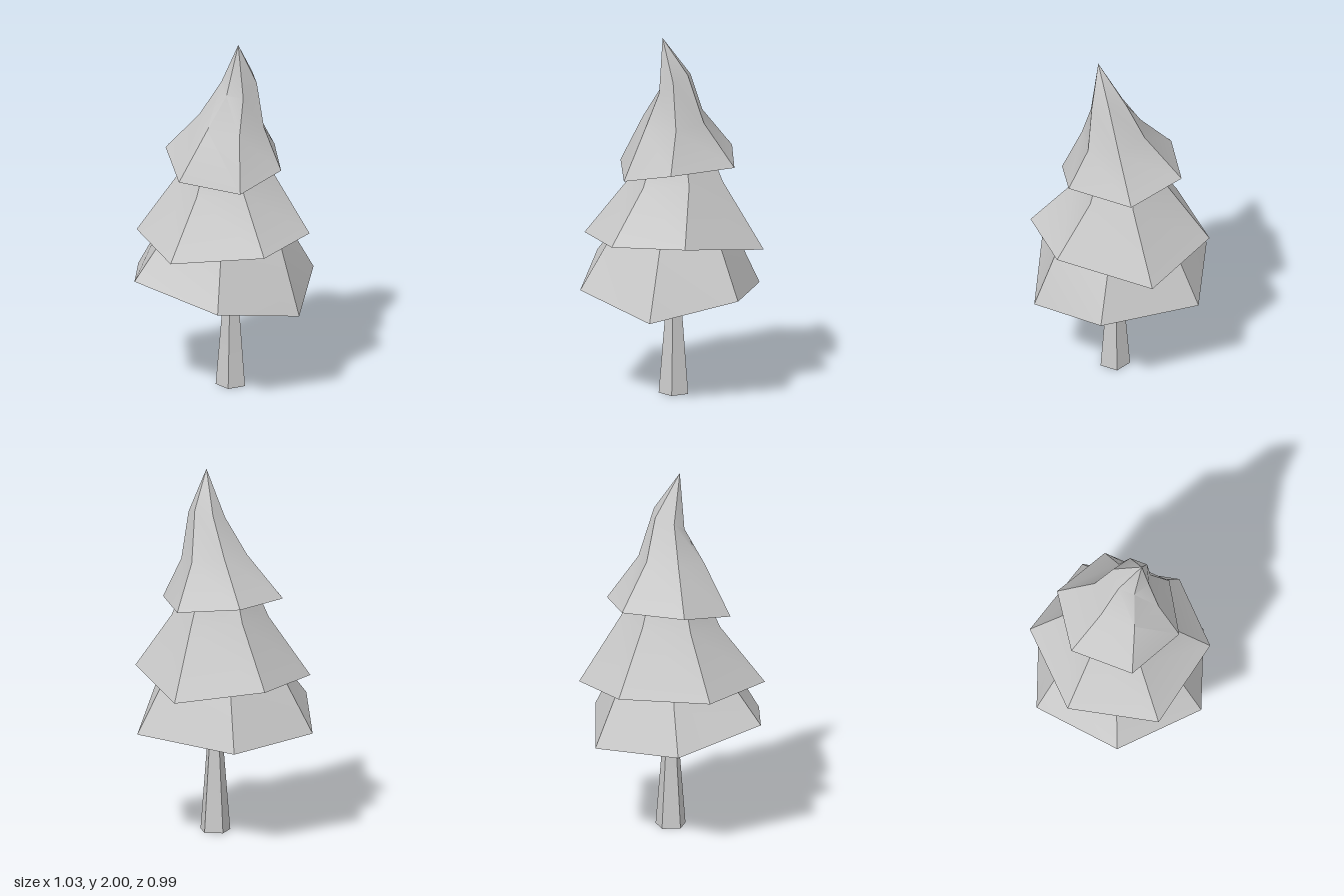
import * as THREE from 'three';
import { toCreasedNormals } from 'three/addons/utils/BufferGeometryUtils.js';

// Joins a sequence of equal-sized rings into a closed faceted skin
function loft(rings) {
  const pos = [];
  const tri = (a, b, c) => {
    const [A, B, C] = [a, b, c].map((p) => new THREE.Vector3(...p));
    if (B.sub(A).cross(C.sub(A)).length() > 1e-7) pos.push(...a, ...b, ...c);
  };
  for (let k = 0; k < rings.length - 1; k++) {
    const lo = rings[k], up = rings[k + 1], n = lo.length;
    for (let i = 0; i < n; i++) {
      const j = (i + 1) % n;
      tri(lo[i], up[i], up[j]);
      tri(lo[i], up[j], lo[j]);
    }
  }
  const geo = new THREE.BufferGeometry();
  geo.setAttribute('position', new THREE.Float32BufferAttribute(pos, 3));
  return toCreasedNormals(geo, 0.55);
}

// Average point of a ring
const centre = (ring) => [0, 1, 2].map((a) => ring.reduce((s, p) => s + p[a], 0) / ring.length);

// Copy of a ring scaled about its own centre and raised
function shrink(ring, s, lift) {
  const c = centre(ring);
  return ring.map((p) => [c[0] + (p[0] - c[0]) * s, p[1] + lift, c[2] + (p[2] - c[2]) * s]);
}
const collapse = (ring, point) => ring.map(() => point);

// Foliage skirt: deep hollow underside, thin lip, outer skin up to a tip
function tier(rim, ring, upper, tip) {
  const roof = shrink(ring, 0.6, 0.12);
  return loft([
    collapse(rim, centre(roof)), roof, shrink(ring, 0.92, -0.02), shrink(rim, 0.95, 0.022),
    rim, ring, ...upper, collapse(rim, tip),
  ]);
}

export function createModel() {
  const group = new THREE.Group();
  const material = new THREE.MeshStandardMaterial({ color: 0xcccccc });
  const add = (name, geo) => {
    const mesh = new THREE.Mesh(geo, material);
    mesh.name = name;
    group.add(mesh);
  };

  // Tapered five-sided trunk
  const pentagon = (r, y) => Array.from({ length: 5 }, (_, i) => {
    const a = (i / 5) * Math.PI * 2;
    return [0.037 + r * Math.cos(a), y, 0.04 + r * Math.sin(a)];
  });
  const foot = pentagon(0.085, 0), head = pentagon(0.026, 1);
  add('trunk', loft([collapse(foot, centre(foot)), foot, pentagon(0.036, 0.6), head,
    collapse(head, centre(head))]));

  // Lower skirt
  const lowRing = [[0.37, 0.86, 0.13], [0.11, 0.9, 0.345], [-0.24, 0.88, 0.26],
    [-0.37, 0.87, -0.1], [-0.1, 0.83, -0.38], [0.25, 0.86, -0.26]];
  add('lowerFoliage', tier(
    [[0.502, 0.6, 0.19], [0.12, 0.5, 0.493], [-0.365, 0.6, 0.37],
      [-0.517, 0.69, -0.13], [-0.155, 0.595, -0.495], [0.345, 0.555, -0.37]],
    lowRing, [shrink(lowRing, 0.8, 0.14), shrink(lowRing, 0.5, 0.28)], [0.03, 1.25, 0.02]));

  // Middle skirt
  const midRing = [[0.3, 1.2, -0.02], [0.21, 1.21, 0.2], [-0.05, 1.18, 0.235],
    [-0.235, 1.16, 0.06], [-0.14, 1.2, -0.19], [0.12, 1.22, -0.23]];
  add('middleFoliage', tier(
    [[0.515, 0.825, -0.09], [0.285, 0.91, 0.395], [-0.12, 0.895, 0.475],
      [-0.472, 0.85, 0.11], [-0.295, 0.87, -0.355], [0.19, 0.885, -0.455]],
    midRing, [shrink(midRing, 0.84, 0.1), shrink(midRing, 0.6, 0.22)], [0.04, 1.58, 0.04]));

  // Upper skirt with a bent tip
  add('upperFoliage', tier(
    [[0.385, 1.29, 0.005], [0.155, 1.285, 0.31], [-0.135, 1.22, 0.3],
      [-0.31, 1.25, 0], [-0.135, 1.32, -0.298], [0.215, 1.325, -0.298]],
    [[0.22, 1.53, 0.045], [0.13, 1.51, 0.2], [-0.055, 1.5, 0.205],
      [-0.148, 1.525, 0.05], [-0.05, 1.55, -0.115], [0.13, 1.56, -0.11]],
    [[[0.145, 1.8, 0.09], [0.1, 1.77, 0.175], [0.01, 1.7, 0.165],
      [-0.03, 1.7, 0.075], [0.005, 1.75, -0.005], [0.11, 1.78, -0.01]]],
    [0.01, 2, 0.125]));

  return group;
}
